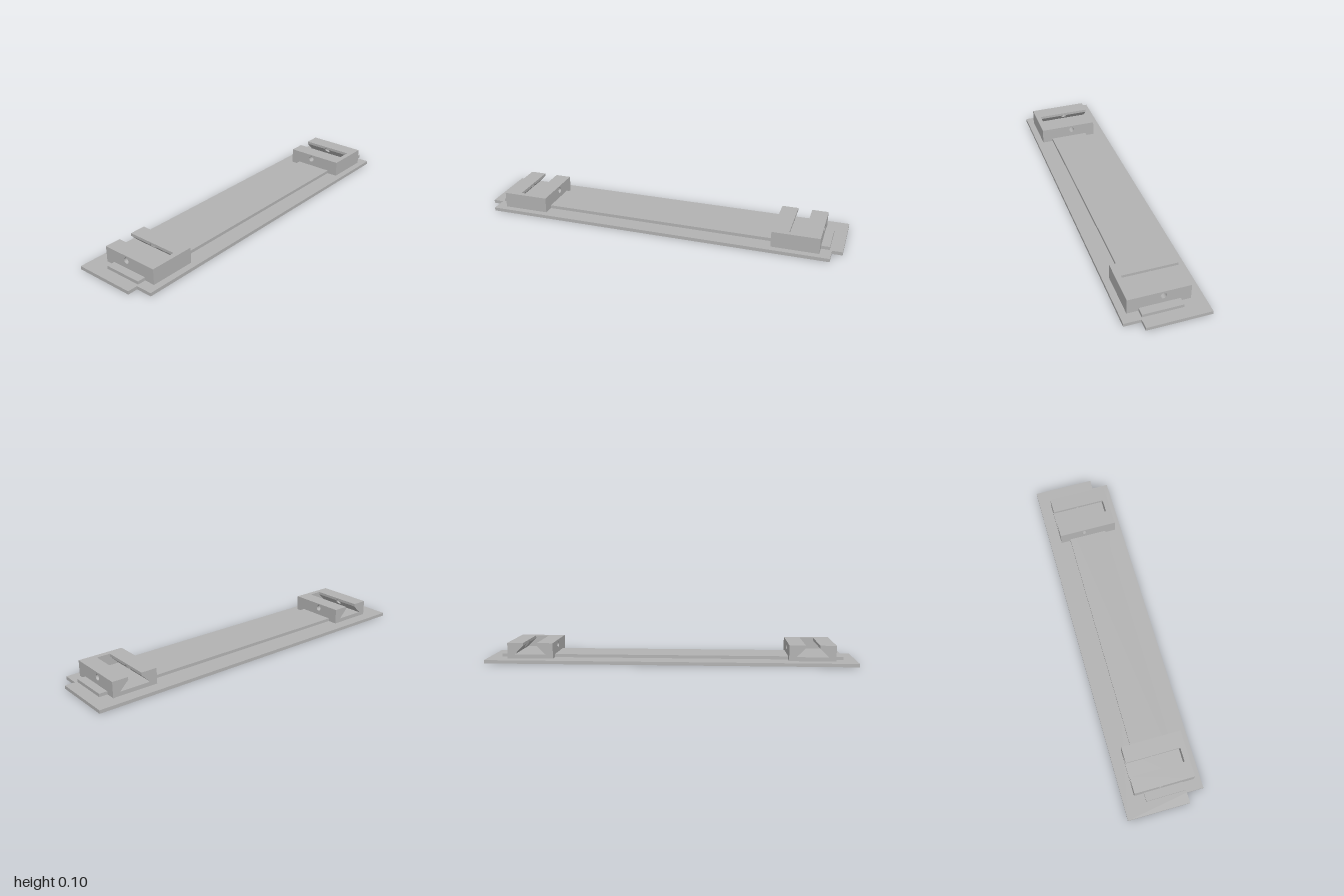
import * as THREE from 'three';

const HALF = 0.125;              // half width of a clamp block
const FLOOR = 0.04, LIP = 0.088, TOP = 0.103;
const FRONT = 0.148, BACK = -0.148; // z extent of the dovetail slot
const HOLE = { z: -0.006, y: 0.0757, r: 0.0157 };

export function createModel() {
  const gray = new THREE.MeshStandardMaterial({ color: 0xb2b2b2 });
  gray.name = 'gray';
  const model = new THREE.Group();
  model.name = 'mountingRail';

  const add = (parent, name, geometry) => {
    const mesh = new THREE.Mesh(geometry, gray);
    mesh.name = name;
    parent.add(mesh);
  };
  const box = (parent, name, x0, x1, y0, y1, z0, z1) => {
    const g = new THREE.BoxGeometry(x1 - x0, y1 - y0, z1 - z0);
    g.translate((x0 + x1) / 2, (y0 + y1) / 2, (z0 + z1) / 2);
    add(parent, name, g);
  };

  // Base plate with its two front corners notched
  const outline = [[-1, 0.213], [-1, -0.123], [-0.945, -0.123], [-0.945, -0.213],
    [0.945, -0.213], [0.945, -0.123], [1, -0.123], [1, 0.213]];
  const base = new THREE.ExtrudeGeometry(
    new THREE.Shape(outline.map(([x, y]) => new THREE.Vector2(x, y))),
    { depth: 0.018, bevelEnabled: false });
  base.rotateX(-Math.PI / 2);
  add(model, 'basePlate', base);

  // Raised strip along the plate
  box(model, 'raisedStrip', -0.933, 0.933, 0.018, 0.035, -0.095, 0.118);

  // Inner wall of the slot: upright lip, then a 45 degree undercut
  const slotHalf = (y) => 0.0375 + Math.max(0, LIP - y);

  // Cheek bands: side outlines (u = -z) with the teardrop bore cut into them
  const u = -HOLE.z;
  const tip = HOLE.y + HOLE.r * Math.SQRT2;
  const w = tip - LIP;
  const upper = [[-FRONT, LIP], [u - w, LIP], [u, tip], [u + w, LIP],
    [-BACK, LIP], [-BACK, TOP], [-FRONT, TOP]];
  const lower = [[-FRONT, LIP], [-FRONT, FLOOR], [-BACK, FLOOR], [-BACK, LIP], [u + w, LIP]];
  for (let i = 0; i <= 24; i++) {
    const a = Math.PI / 4 - (i / 24) * Math.PI * 1.5;
    lower.push([u + HOLE.r * Math.cos(a), HOLE.y + HOLE.r * Math.sin(a)]);
  }
  lower.push([u - w, LIP]);

  const cheekBand = (points, side) => {
    let g = new THREE.ExtrudeGeometry(
      new THREE.Shape(points.map(([a, b]) => new THREE.Vector2(a, b))),
      { depth: 1, bevelEnabled: false });
    g.rotateY(Math.PI / 2);
    // Move the end faces to the outer side and onto the slot wall
    const p = g.attributes.position;
    for (let i = 0; i < p.count; i++) {
      const far = p.getX(i) > 0.5;
      const outer = far === (side > 0);
      p.setX(i, side * (outer ? HALF : slotHalf(p.getY(i))));
    }
    if (g.index) g = g.toNonIndexed();
    g.computeVertexNormals();
    return g;
  };

  // Two clamp blocks, slots open to the back
  for (const side of [1, -1]) {
    const block = new THREE.Group();
    block.name = side > 0 ? 'leftClampBlock' : 'rightClampBlock';
    block.position.x = side * 0.763;
    box(block, 'blockFloor', -HALF, HALF, 0.018, FLOOR, BACK, FRONT);
    box(block, 'blockFrontWall', -HALF, HALF, 0.018, TOP, FRONT, 0.177);
    for (const s of [1, -1]) {
      add(block, 'cheekLower', cheekBand(lower, s));
      add(block, 'cheekLip', cheekBand(upper, s));
    }
    model.add(block);
  }
  return model;
}
